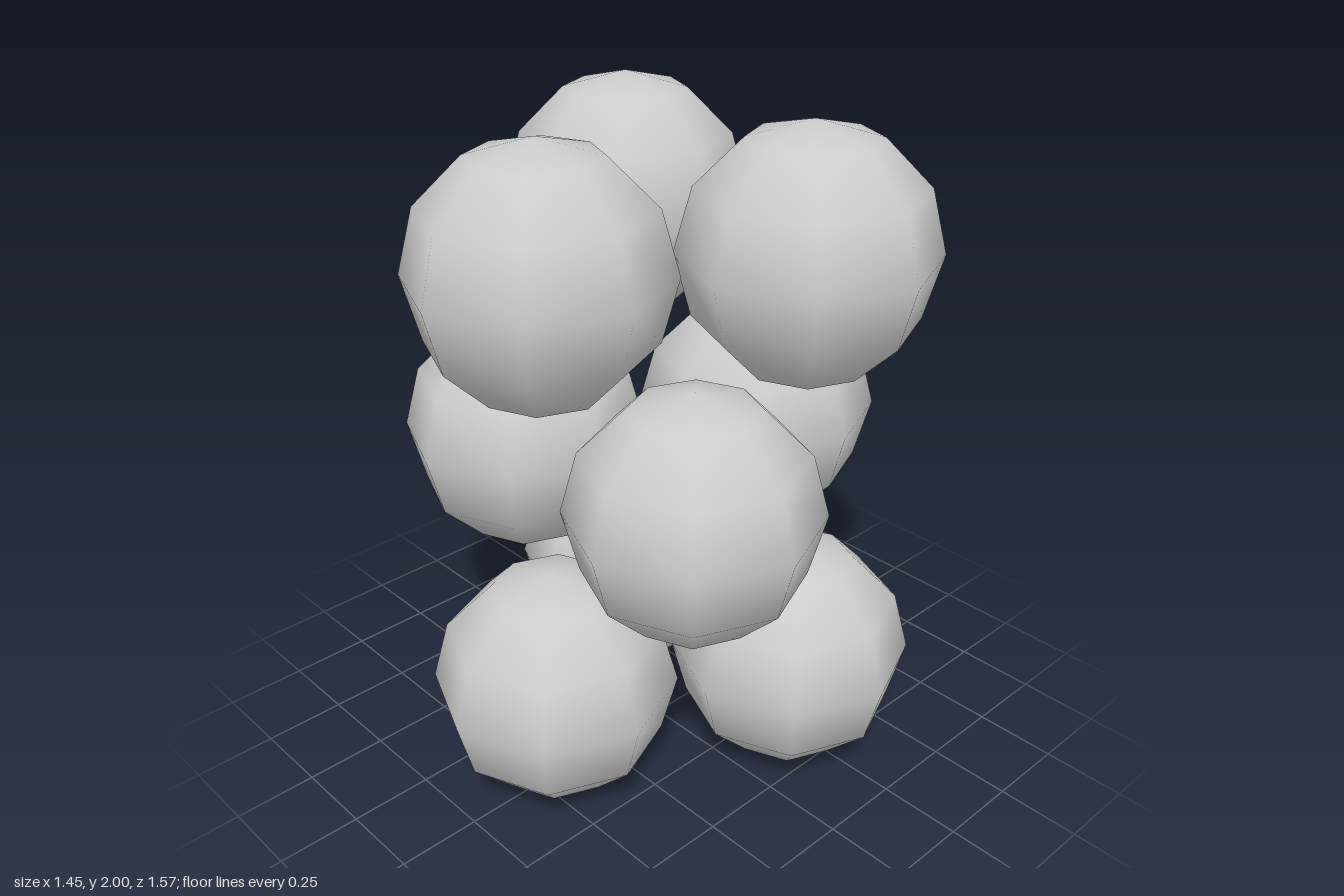
import * as THREE from 'three';

const RADIUS = 0.3636;
const LAYER_HEIGHTS = [RADIUS, 1, 2 - RADIUS];

export function createModel() {
  const model = new THREE.Group();
  model.name = 'stackedSpheres';

  const grey = new THREE.MeshStandardMaterial({ color: 0xcccccc });
  grey.name = 'light grey';

  // Coarse ball with smooth normals, poles along y
  const ball = new THREE.SphereGeometry(RADIUS, 8, 6);

  // Distance from the axis at which three balls touch each other
  const ring = (2 * RADIUS) / Math.sqrt(3);

  // Three layers of three balls; the middle layer points backwards
  LAYER_HEIGHTS.forEach((y, layer) => {
    const group = new THREE.Group();
    group.name = ['bottomLayer', 'middleLayer', 'topLayer'][layer];
    group.position.y = y;
    const facing = layer === 1 ? -1 : 1;

    for (let i = 0; i < 3; i++) {
      const angle = (i * Math.PI * 2) / 3;
      const mesh = new THREE.Mesh(ball, grey);
      mesh.name = 'ball' + (i + 1);
      mesh.position.set(Math.sin(angle) * ring, 0, Math.cos(angle) * ring * facing);
      group.add(mesh);
    }
    model.add(group);
  });

  return model;
}
